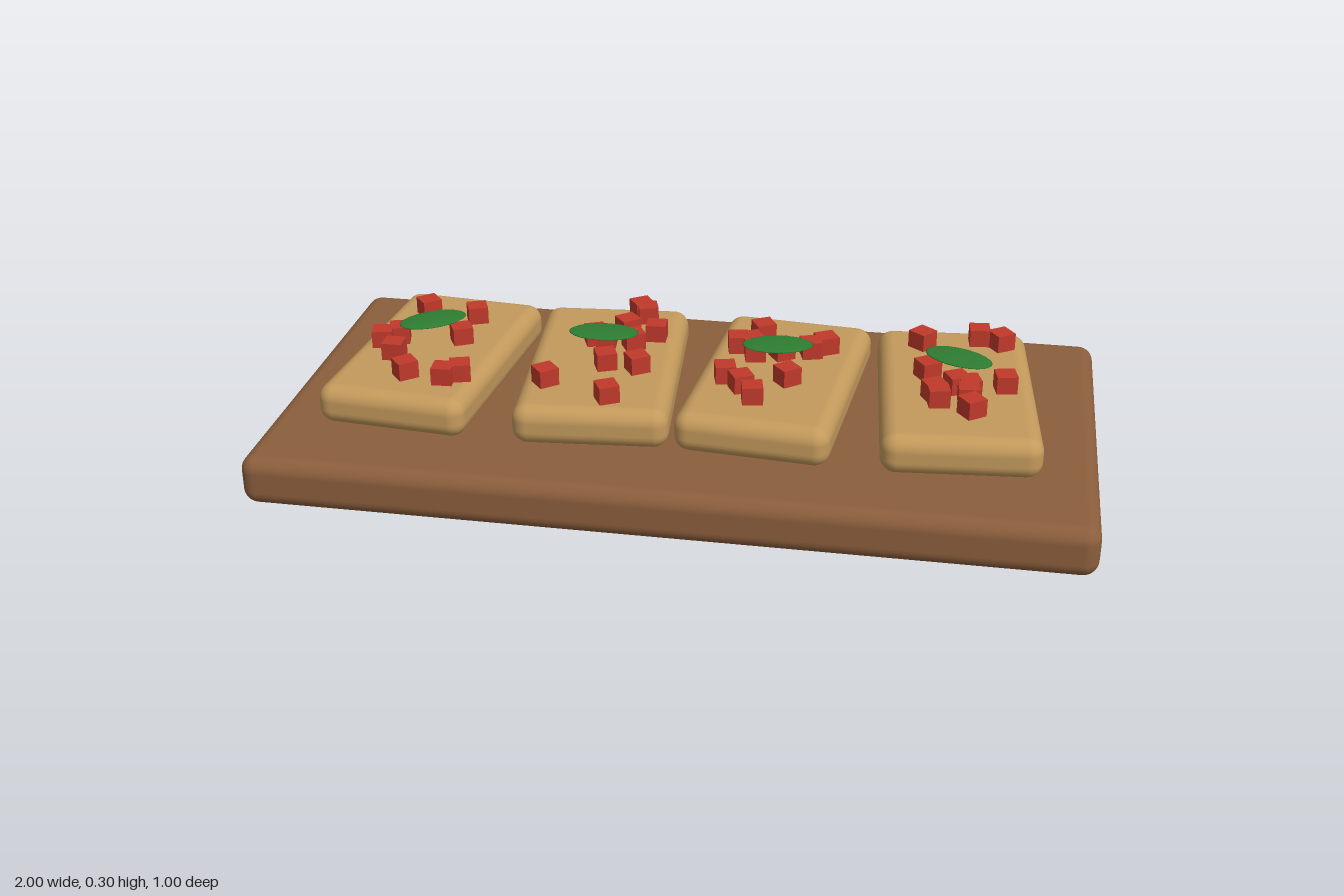
import * as THREE from 'three';
import { RoundedBoxGeometry } from 'three/addons/geometries/RoundedBoxGeometry.js';

const paint = (color) => new THREE.MeshStandardMaterial({ color });

// Each toast: centre x, turn, leaf turn, and tomato cubes as [x, z, turn]
const TOASTS = [
  { x: -0.66, turn: -0.087, leaf: 0.65, cubes: [
    [-0.72, -0.16, 0.7], [-0.585, -0.14, 0.4], [-0.78, 0.04, 0.2], [-0.745, 0.01, 0.25], [-0.73, 0.105, 0],
    [-0.59, -0.01, 0.5], [-0.67, 0.205, 0.7], [-0.57, 0.22, 0.05], [-0.535, 0.195, 0.3]] },
  { x: -0.22, turn: 0.087, leaf: 0.04, cubes: [
    [-0.17, -0.24, 0.6], [-0.15, -0.215, 0.3], [-0.185, -0.13, 0.7], [-0.107, -0.11, 0.05], [-0.255, -0.06, 0.4],
    [-0.225, -0.055, 0.1], [-0.155, -0.05, 0.5], [-0.2, 0.075, 0.4], [-0.12, 0.08, 0.6], [-0.325, 0.187, 0.7],
    [-0.16, 0.25, 0.5]] },
  { x: 0.215, turn: -0.087, leaf: 0.15, cubes: [
    [0.16, -0.16, 0.5], [0.107, -0.078, 0.2], [0.14, -0.08, 0.5], [0.325, -0.107, 0.5], [0.29, -0.075, 0.3],
    [0.22, -0.055, 0.6], [0.155, -0.035, 0.2], [0.1, 0.097, 0.25], [0.145, 0.14, 0.5], [0.18, 0.197, 0.2],
    [0.25, 0.086, 0.7]] },
  { x: 0.655, turn: 0.087, leaf: -0.45, cubes: [
    [0.56, -0.176, 0.9], [0.7, -0.22, 0.1], [0.755, -0.2, 0.6], [0.77, 0.037, 0.2], [0.582, -0.005, 0.6],
    [0.605, 0.112, 0.5], [0.615, 0.138, 0.2], [0.685, 0.118, 0.1], [0.695, 0.18, 0.65], [0.685, 0.075, 0.3],
    [0.655, 0.06, 0.5]] },
];

export function createModel() {
  const model = new THREE.Group();
  const materials = {
    board: paint(0x8b5e3c), bread: paint(0xc49a5c), tomato: paint(0xc0392b), leaf: paint(0x2e7d32),
  };
  const breadGeo = new RoundedBoxGeometry(0.375, 0.1, 0.625, 4, 0.038);
  const cubeGeo = new THREE.BoxGeometry(0.05, 0.044, 0.05);
  const leafGeo = new THREE.SphereGeometry(1, 20, 12).scale(0.087, 0.006, 0.05);

  const add = (parent, name, geometry, material, x, y, z, turn = 0) => {
    const mesh = new THREE.Mesh(geometry, material);
    mesh.name = name;
    mesh.position.set(x, y, z);
    mesh.rotation.y = turn;
    parent.add(mesh);
  };

  // Serving board
  add(model, 'servingBoard', new RoundedBoxGeometry(2, 0.125, 1, 4, 0.038), materials.board, 0, 0.0625, 0);

  // Toasts with diced tomato and a basil leaf
  TOASTS.forEach(({ x, turn, leaf, cubes }, i) => {
    const toast = new THREE.Group();
    toast.name = `toast${i + 1}`;
    add(toast, 'breadSlice', breadGeo, materials.bread, x, 0.175, 0, turn);
    for (const [cx, cz, cubeTurn] of cubes) {
      add(toast, 'tomatoCube', cubeGeo, materials.tomato, cx, 0.253, cz, cubeTurn);
    }
    add(toast, 'basilLeaf', leafGeo, materials.leaf, x, 0.29, 0, leaf);
    model.add(toast);
  });

  return model;
}
